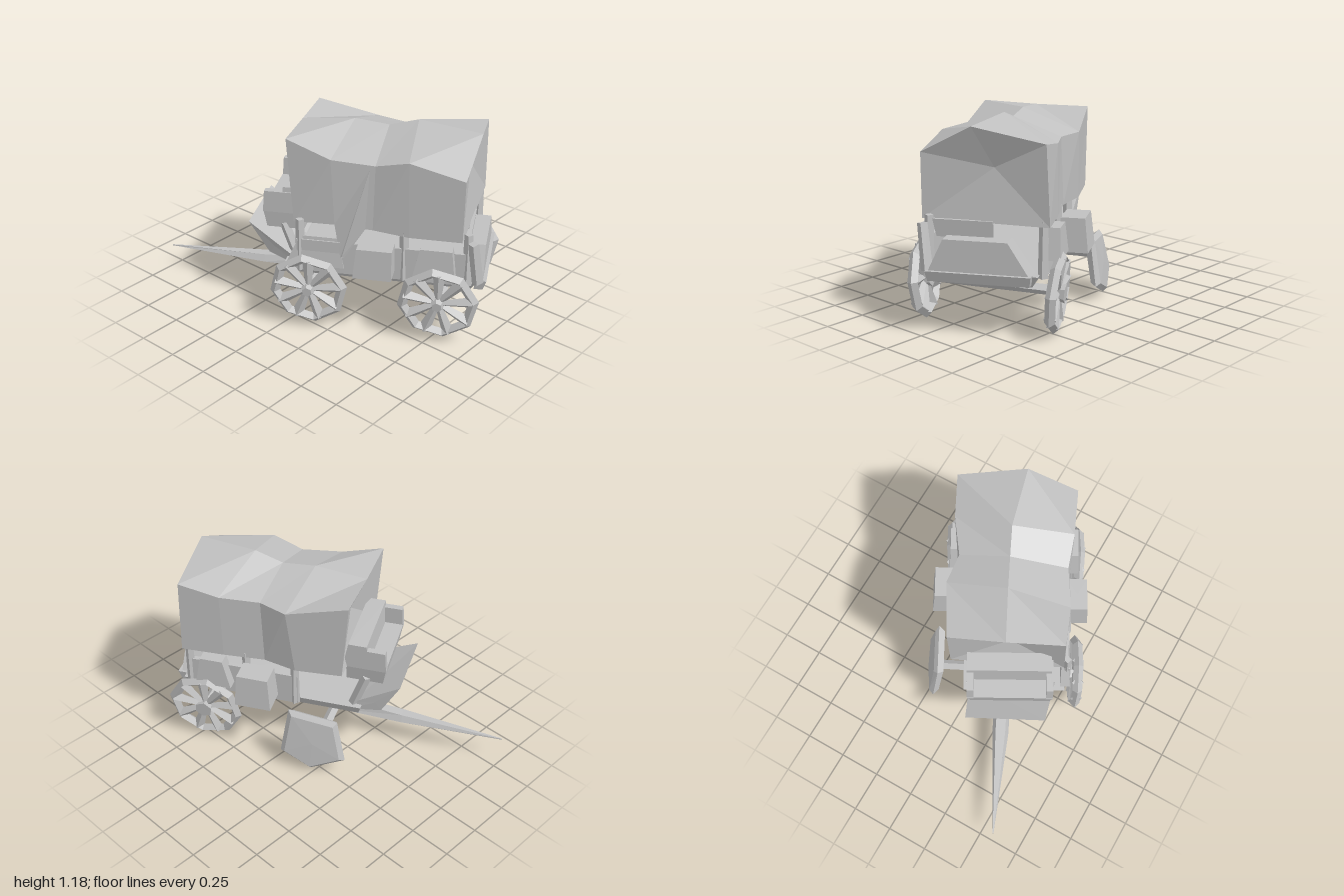
import * as THREE from 'three';

const grey = new THREE.MeshStandardMaterial({ color: 0xc0c0c0, side: THREE.DoubleSide, flatShading: true });
grey.name = 'weathered grey';

function part(parent, name, geometry) {
  const mesh = new THREE.Mesh(geometry, grey);
  mesh.name = name;
  parent.add(mesh);
  return mesh;
}

// Skin between cross-sections; ends are fans around the given centre points
function loft(rings, closed, startCentre, endCentre) {
  const n = rings[0].length, pos = [];
  const tri = (a, b, c) => pos.push(...a, ...b, ...c);
  for (let i = 0; i < rings.length - 1; i++) {
    for (let j = 0; j < (closed ? n : n - 1); j++) {
      const k = (j + 1) % n, p = rings[i], q = rings[i + 1];
      tri(p[j], q[j], p[k]);
      tri(p[k], q[j], q[k]);
    }
  }
  const last = rings[rings.length - 1];
  for (let j = 0; j < n; j++) {
    const k = (j + 1) % n;
    if (startCentre) tri(rings[0][j], rings[0][k], startCentre);
    if (endCentre) tri(last[k], last[j], endCentre);
  }
  const g = new THREE.BufferGeometry();
  g.setAttribute('position', new THREE.Float32BufferAttribute(pos, 3));
  g.computeVertexNormals();
  return g;
}

// Six-sided block from a lower and an upper rectangle [x0, x1, z0, z1, y]
function block(low, high) {
  const ring = ([x0, x1, z0, z1, y]) => [[x0, y, z0], [x0, y, z1], [x1, y, z1], [x1, y, z0]];
  const mid = ([x0, x1, z0, z1, y]) => [(x0 + x1) / 2, y, (z0 + z1) / 2];
  return loft([ring(low), ring(high)], true, mid(low), mid(high));
}

// Tapered bar between two points
function bar(parent, name, a, b, r0, r1) {
  const p = new THREE.Vector3(...a), d = new THREE.Vector3(...b).sub(p);
  const mesh = part(parent, name, new THREE.CylinderGeometry(r1, r0, d.length(), 4));
  mesh.position.copy(p).addScaledVector(d, 0.5);
  mesh.quaternion.setFromUnitVectors(new THREE.Vector3(0, 1, 0), d.normalize());
}

// Octagonal wheel with wedge-shaped spokes
function spokedWheel(parent, name, x, y, z, r, lean) {
  const wheel = new THREE.Group();
  wheel.name = name;
  wheel.position.set(x, y, z);
  wheel.rotation.set(lean, 0, 0.15);
  parent.add(wheel);
  part(wheel, 'rim', new THREE.TorusGeometry(r - 0.025, 0.03, 4, 8));
  part(wheel, 'hub', new THREE.CylinderGeometry(0.03, 0.055, 0.09, 6)).rotation.x = Math.PI / 2;
  for (let i = 0; i < 9; i++) {
    const a = i * Math.PI * 2 / 9;
    bar(wheel, 'spoke', [0, 0, 0], [Math.cos(a) * (r - 0.03), Math.sin(a) * (r - 0.03), 0], 0.016, 0.036);
  }
}

export function createModel() {
  const model = new THREE.Group();
  model.name = 'coveredWagon';
  // The wagon is built along x (tongue at -x) and turned as a whole
  const wagon = new THREE.Group();
  wagon.name = 'wagon';
  wagon.rotation.y = 0.506;
  model.add(wagon);

  // Cloth cover: each section runs far hem, far eave, ridge, near eave, near hem
  const cover = [
    [[-0.2, 0.64, -0.23], [-0.235, 1.12, -0.235], [-0.26, 1.12, 0.09], [-0.28, 1.13, 0.42], [-0.24, 0.63, 0.44]],
    [[0.08, 0.63, -0.24], [0.13, 1.03, -0.25], [0.05, 1.15, 0.10], [-0.02, 1.04, 0.455], [0.0, 0.64, 0.455]],
    [[0.28, 0.63, -0.19], [0.30, 1.03, -0.18], [0.25, 1.13, 0.11], [0.23, 1.02, 0.445], [0.22, 0.63, 0.46]],
    [[0.53, 0.63, -0.21], [0.54, 1.04, -0.21], [0.42, 1.18, 0.12], [0.42, 1.07, 0.48], [0.43, 0.62, 0.49]],
    [[0.79, 0.63, -0.22], [0.79, 1.08, -0.20], [0.79, 1.16, 0.21], [0.735, 1.0, 0.51], [0.73, 0.63, 0.51]],
  ];
  part(wagon, 'canvasCover', loft(cover, false, [-0.16, 0.88, 0.12], [0.72, 0.93, 0.10]));
  // Hanging cloth fold on the near side
  part(wagon, 'clothFold', loft([
    [[0.0, 0.64, 0.455], [0.2, 1.0, 0.455], [0.18, 0.64, 0.475]],
    [[0.04, 0.45, 0.49], [0.05, 0.46, 0.495], [0.06, 0.45, 0.49]],
  ], true));

  // Shallow wagon bed; the far wall stops short of the front
  part(wagon, 'bedFloor', block([-0.28, 0.78, -0.12, 0.42, 0.29], [-0.3, 0.82, -0.16, 0.46, 0.36]));
  for (const [z, front] of [[-0.19, 0.08], [0.45, -0.22]]) {
    part(wagon, 'bedSide', block([front, 0.74, z, z + 0.03, 0.34], [front, 0.76, z, z + 0.03, 0.54]));
    for (const x of [front + 0.02, 0.4, 0.76]) bar(wagon, 'coverPost', [x, 0.34, z + 0.015], [x, 0.66, z + 0.01], 0.03, 0.025);
  }

  // Rear chest with sloping ends, and the flap and sill around it
  part(wagon, 'tailChest', block([0.72, 0.85, -0.12, 0.45, 0.36], [0.74, 0.85, 0.0, 0.36, 0.55]));
  part(wagon, 'tailSill', block([0.80, 0.85, -0.12, 0.45, 0.31], [0.82, 0.87, -0.13, 0.46, 0.37]));
  part(wagon, 'tailFlap', block([0.74, 0.76, 0.1, 0.42, 0.54], [0.75, 0.77, 0.1, 0.44, 0.64]));
  bar(wagon, 'tailPost', [0.82, 0.36, 0.46], [0.79, 0.62, 0.49], 0.035, 0.03);

  // Chests and casks hung on both sides
  part(wagon, 'nearChest', block([0.13, 0.35, 0.48, 0.60, 0.39], [0.15, 0.35, 0.47, 0.59, 0.57]));
  part(wagon, 'nearRearChest', block([0.46, 0.70, 0.47, 0.55, 0.40], [0.50, 0.68, 0.47, 0.54, 0.58]));
  part(wagon, 'farChest', block([0.2, 0.42, -0.36, -0.2, 0.39], [0.22, 0.41, -0.34, -0.2, 0.59]));
  part(wagon, 'farRearChest', block([0.48, 0.70, -0.26, -0.17, 0.42], [0.53, 0.67, -0.25, -0.17, 0.6]));
  part(wagon, 'nearFrontPanel', block([-0.28, 0.06, 0.43, 0.49, 0.38], [-0.2, 0.02, 0.43, 0.47, 0.56]));

  // Driver's seat and sloping footboard
  part(wagon, 'seat', block([-0.42, -0.2, -0.11, 0.36, 0.54], [-0.44, -0.2, -0.13, 0.37, 0.66]));
  part(wagon, 'seatBack', block([-0.33, -0.18, -0.13, 0.37, 0.64], [-0.32, -0.21, -0.13, 0.36, 0.80]));
  for (const z of [-0.13, 0.33]) {
    part(wagon, 'seatArm', block([-0.44, -0.22, z, z + 0.04, 0.64], [-0.43, -0.24, z, z + 0.04, 0.77]));
    bar(wagon, 'seatLeg', [-0.24, 0.34, z + 0.02], [-0.32, 0.57, z + 0.02], 0.03, 0.03);
  }
  part(wagon, 'footboard', loft([
    [[-0.53, 0.55, -0.14], [-0.25, 0.37, -0.12], [-0.22, 0.31, -0.12], [-0.42, 0.35, -0.13]],
    [[-0.54, 0.54, 0.33], [-0.25, 0.37, 0.40], [-0.22, 0.31, 0.40], [-0.42, 0.35, 0.33]],
  ], true, [-0.38, 0.40, -0.13], [-0.38, 0.40, 0.35]));

  // Running gear: axles, bolsters and tongue
  bar(wagon, 'frontAxle', [-0.1, 0.24, -0.32], [-0.14, 0.25, 0.53], 0.03, 0.03);
  bar(wagon, 'rearAxle', [0.66, 0.24, -0.24], [0.61, 0.26, 0.55], 0.03, 0.03);
  part(wagon, 'frontBolster', block([-0.18, 0.0, -0.04, 0.34, 0.22], [-0.22, 0.04, -0.12, 0.42, 0.31]));
  part(wagon, 'rearBolster', block([0.6, 0.68, -0.04, 0.34, 0.25], [0.57, 0.71, -0.12, 0.42, 0.31]));
  part(wagon, 'tongue', loft([
    [[-0.12, 0.15, 0.04], [-0.12, 0.15, 0.14], [-0.12, 0.22, 0.12], [-0.12, 0.22, 0.06]],
    [[-0.52, 0.15, 0.02], [-0.52, 0.15, 0.12], [-0.52, 0.19, 0.10], [-0.52, 0.19, 0.04]],
    [[-1.14, 0.15, 0.03], [-1.14, 0.15, 0.035], [-1.14, 0.155, 0.035], [-1.14, 0.155, 0.03]],
  ], true, [-0.12, 0.18, 0.09], [-1.14, 0.152, 0.032]));

  // Three spoked wheels and one solid, slab-like wheel
  spokedWheel(wagon, 'nearFrontWheel', -0.14, 0.25, 0.53, 0.225, 0.05);
  spokedWheel(wagon, 'nearRearWheel', 0.61, 0.25, 0.545, 0.23, 0.08);
  spokedWheel(wagon, 'farRearWheel', 0.66, 0.23, -0.235, 0.23, -0.08);
  // The slab leans inward towards its flat top
  const outline = (z, s) => [[-0.2, -0.09], [0.01, -0.19], [0.2, -0.1], [0.16, 0.19], [-0.14, 0.16]]
    .map(([x, y]) => [-0.06 + x * s, 0.2 + y * s, z + y * 0.15]);
  part(wagon, 'farFrontWheel', loft([outline(-0.37, 0.85), outline(-0.345, 1), outline(-0.31, 0.85)],
    true, [-0.06, 0.2, -0.375], [-0.06, 0.2, -0.31]));

  return model;
}
